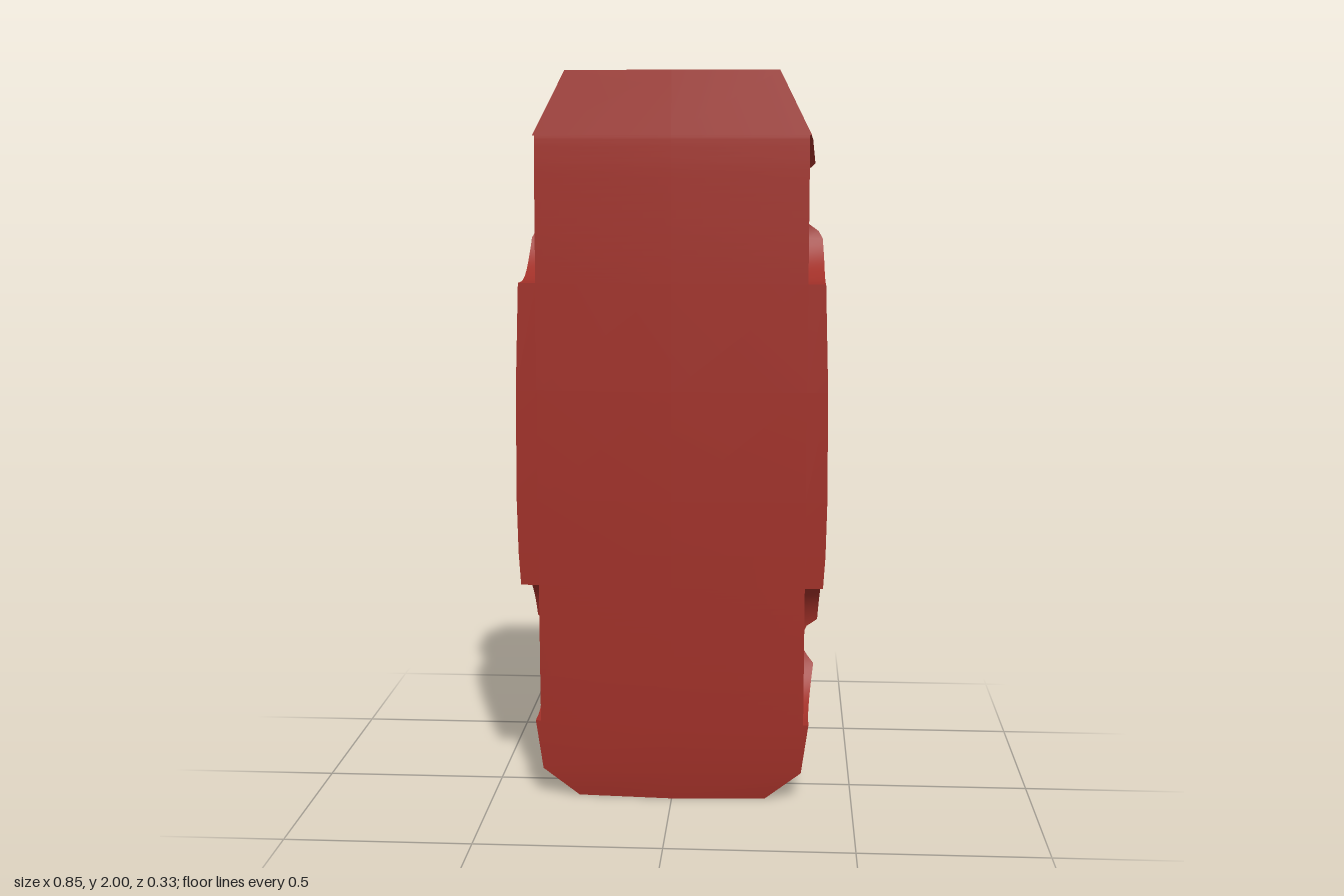
import * as THREE from 'three';
import { toCreasedNormals } from 'three/addons/utils/BufferGeometryUtils.js';

// Body curves along the height: [y, half width, back centre z, back corner z, front centre z]
const STATIONS = [
  [0.00, 0.260, -0.050, -0.020, 0.140],
  [0.08, 0.360, -0.090, -0.055, 0.151],
  [0.33, 0.395, -0.134, -0.094, 0.158],
  [0.46, 0.405, -0.147, -0.106, 0.160],
  [0.70, 0.420, -0.164, -0.124, 0.163],
  [0.85, 0.423, -0.166, -0.128, 0.165],
  [1.15, 0.421, -0.156, -0.121, 0.165],
  [1.50, 0.410, -0.131, -0.103, 0.161],
  [1.57, 0.405, -0.124, -0.098, 0.160],
  [1.75, 0.384, -0.104, -0.076, 0.157],
  [1.82, 0.375, -0.096, -0.071, 0.154],
  [2.00, 0.285, -0.047, -0.020, 0.130],
];
const ARCHES = [{ y: 0.415, z: 0.085, r: 0.195 }, { y: 1.635, z: 0.085, r: 0.195 }];
const INNER = 0.365; // depth of the wheel wells, measured from the centre
const STEPS = 28;

function station(y) {
  let i = 0;
  while (i < STATIONS.length - 2 && y > STATIONS[i + 1][0]) i++;
  const a = STATIONS[i], b = STATIONS[i + 1];
  const t = (y - a[0]) / (b[0] - a[0]);
  return a.map((v, k) => v + (b[k] - v) * t);
}

// Closed cross-section at height y; cut is the z of the wheel arch edge, or null
function section(y, cut) {
  const [, w, back, corner, front] = station(y);
  const mid = back + 0.27 * (corner - back);
  const inner = Math.min(INNER, w);
  const backZ = (x) => {
    const t = x / w;
    return t < 0.58 ? back + (mid - back) * t / 0.58 : mid + (corner - mid) * (t - 0.58) / 0.42;
  };
  const frontZ = (x) => front - 0.015 * x / w;
  let outer = w, edgeOuter = frontZ(w), edgeInner = frontZ(inner);
  if (cut !== null) {
    // Where the arch breaks through the back corner, pull the flank inwards
    if (cut < corner) outer = Math.max(inner, w * (0.58 + 0.42 * (cut - mid) / (corner - mid)));
    edgeOuter = Math.max(cut, backZ(outer));
    edgeInner = Math.max(cut, backZ(inner));
  }
  const half = [
    [0, back], [0.58 * w, mid], [inner, backZ(inner)], [outer, backZ(outer)],
    [outer, edgeOuter], [inner, edgeInner], [inner, frontZ(inner)], [0, front],
  ];
  const mirrored = half.slice(1, -1).reverse().map(([x, z]) => [-x, z]);
  return [...half, ...mirrored].map(([x, z]) => new THREE.Vector3(x, y, z));
}

function bodySections() {
  const rows = [];
  let from = -1;
  for (const arch of ARCHES) {
    const lo = arch.y - arch.r, hi = arch.y + arch.r;
    STATIONS.filter(([y]) => y > from && y < lo).forEach(([y]) => rows.push(section(y, null)));
    rows.push(section(lo, null));
    for (let i = 0; i <= STEPS; i++) {
      const a = -Math.PI / 2 + Math.PI * i / STEPS;
      rows.push(section(arch.y + arch.r * Math.sin(a), arch.z - arch.r * Math.cos(a)));
    }
    rows.push(section(hi, null));
    from = hi;
  }
  STATIONS.filter(([y]) => y > from).forEach(([y]) => rows.push(section(y, null)));
  return rows;
}

// Skin consecutive sections and close both ends
function loft(rows) {
  const pos = [];
  const ab = new THREE.Vector3(), ac = new THREE.Vector3();
  const tri = (a, b, c) => {
    if (ab.subVectors(b, a).cross(ac.subVectors(c, a)).length() < 1e-9) return;
    for (const p of [a, b, c]) pos.push(p.x, p.y, p.z);
  };
  const n = rows[0].length;
  for (let k = 0; k < rows.length - 1; k++) {
    for (let i = 0; i < n; i++) {
      const j = (i + 1) % n, lo = rows[k], hi = rows[k + 1];
      tri(lo[i], hi[i], lo[j]);
      tri(lo[j], hi[i], hi[j]);
    }
  }
  const bottom = rows[0], top = rows[rows.length - 1];
  const centre = (ring) => new THREE.Vector3(0, ring[0].y, 0.04);
  const c0 = centre(bottom), c1 = centre(top);
  for (let i = 0; i < n; i++) {
    const j = (i + 1) % n;
    tri(c0, bottom[i], bottom[j]);
    tri(c1, top[j], top[i]);
  }
  const geometry = new THREE.BufferGeometry();
  geometry.setAttribute('position', new THREE.Float32BufferAttribute(pos, 3));
  return toCreasedNormals(geometry, 0.42);
}

export function createModel() {
  const group = new THREE.Group();
  group.name = 'carBodyShell';

  // Body shell with four wheel arches
  const body = new THREE.Mesh(
    loft(bodySections()),
    new THREE.MeshStandardMaterial({ color: 0xa03028 }),
  );
  body.name = 'body';
  group.add(body);
  return group;
}
